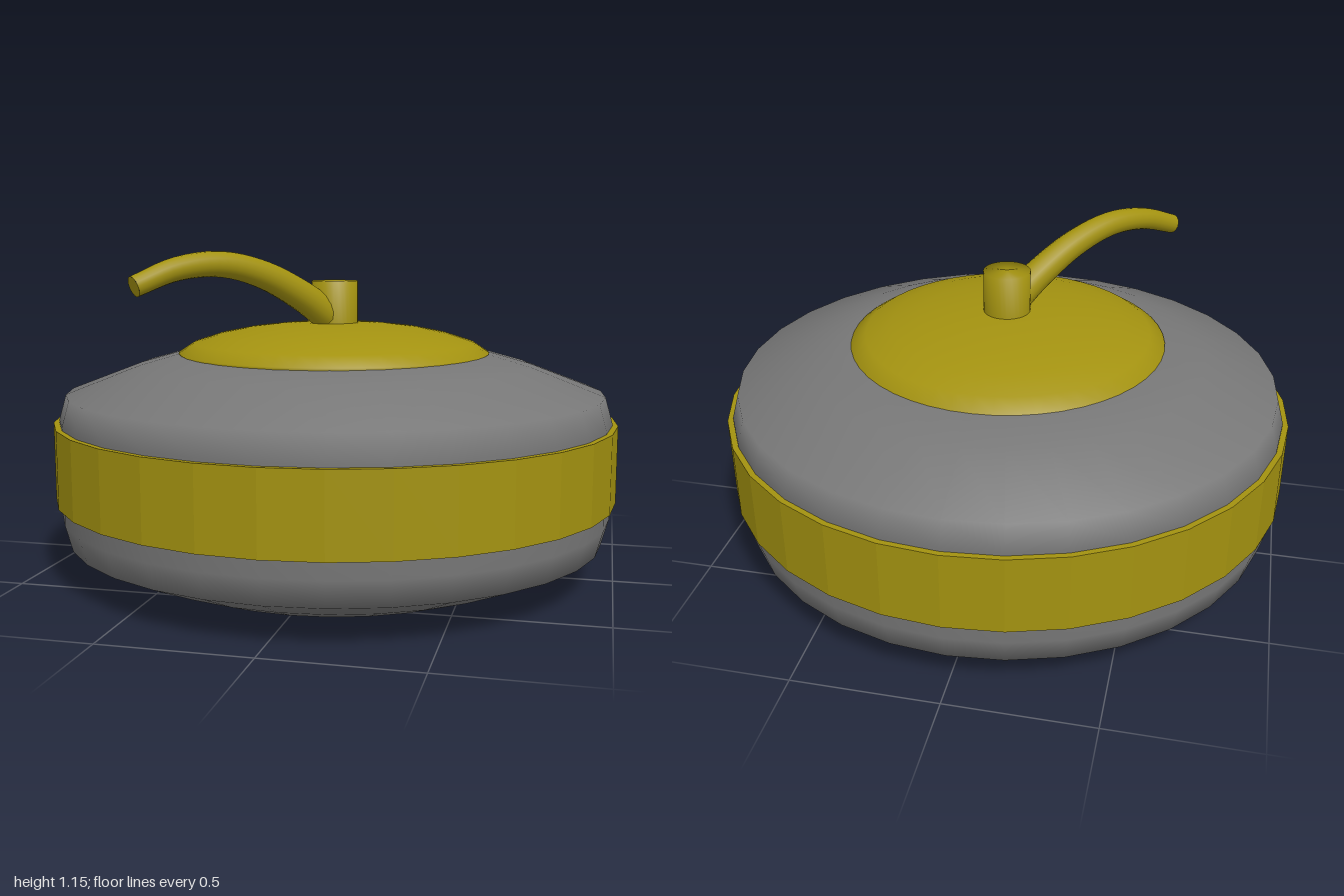
import * as THREE from 'three';

const YELLOW = 0xa39210;
const GREY = 0x777777;
const DEPTH = 0.968; // the stone is slightly narrower front to back

function part(name, geometry, color, flatShading = false) {
  const material = new THREE.MeshStandardMaterial({ color, flatShading });
  const mesh = new THREE.Mesh(geometry, material);
  mesh.name = name;
  return mesh;
}

// Turned shape from [radius, height] pairs, listed from bottom to top
function turned(profile, segments) {
  return new THREE.LatheGeometry(profile.map(([r, y]) => new THREE.Vector2(r, y)), segments);
}

// Tube along a curve, thinning from one radius to the other, with a closed tip
function taperedTube(name, curve, r0, r1, steps, sides, color) {
  const group = new THREE.Group();
  group.name = name;
  const tube = new THREE.TubeGeometry(curve, steps, 1, sides);
  const pos = tube.attributes.position;
  const v = new THREE.Vector3();
  for (let i = 0; i <= steps; i++) {
    const center = curve.getPointAt(i / steps);
    const radius = THREE.MathUtils.lerp(r0, r1, i / steps);
    for (let j = 0; j <= sides; j++) {
      const k = i * (sides + 1) + j;
      v.fromBufferAttribute(pos, k).sub(center).multiplyScalar(radius).add(center);
      pos.setXYZ(k, v.x, v.y, v.z);
    }
  }
  const tip = part(name + 'Tip', new THREE.CircleGeometry(r1, sides), color);
  tip.position.copy(curve.getPointAt(1));
  tip.quaternion.setFromUnitVectors(new THREE.Vector3(0, 0, 1), curve.getTangentAt(1));
  group.add(part(name + 'Grip', tube, color), tip);
  return group;
}

export function createModel() {
  const model = new THREE.Group();
  model.name = 'curlingStone';

  // Stone body with a flat base and bevelled shoulders
  const body = part('stoneBody', turned([
    [0, 0], [0.635, 0], [0.78, 0.055], [0.955, 0.13], [0.98, 0.22],
    [0.98, 0.56], [0.955, 0.648], [0.7, 0.745], [0.54, 0.79], [0, 0.8],
  ], 32), GREY);
  body.scale.z = DEPTH;

  // Faceted band around the middle
  const band = part('band', turned([
    [0.97, 0.28], [1, 0.28], [1, 0.55], [0.97, 0.55], [0.97, 0.28],
  ], 32), YELLOW, true);
  band.scale.z = DEPTH;

  // Low dome on top
  const cap = part('topCap', turned([
    [0.54, 0.77], [0.553, 0.788], [0.5, 0.823], [0.41, 0.852],
    [0.31, 0.872], [0.2, 0.885], [0.1, 0.892], [0, 0.893],
  ], 48), YELLOW);
  cap.position.z = 0.012;

  // Handle post
  const post = part('handlePost', turned([[0.082, 0.86], [0.082, 1.04], [0, 1.04]], 32), YELLOW);
  post.position.set(0.005, 0, 0.02);

  // Curved handle reaching out to the front right
  const path = [
    [-0.015, 0.92], [-0.08, 0.985], [-0.19, 1.066], [-0.3, 1.104], [-0.41, 1.09], [-0.51, 1.037],
  ].map(([x, y]) => new THREE.Vector3(x, y, 0.04 - 1.11 * x));
  const handle = taperedTube('handle', new THREE.CatmullRomCurve3(path), 0.056, 0.035, 24, 16, YELLOW);

  model.add(body, band, cap, post, handle);
  return model;
}
